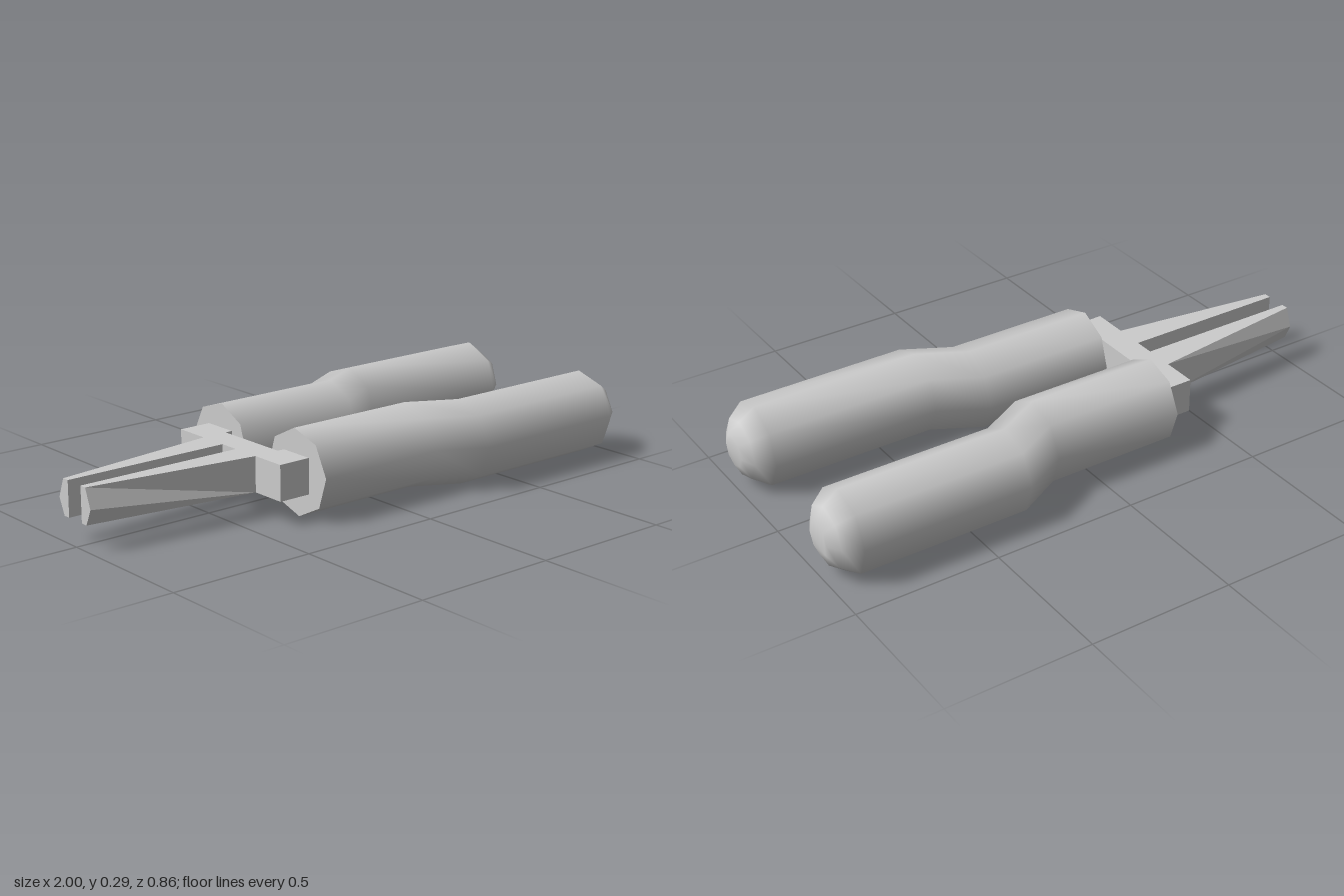
import * as THREE from 'three';

const material = new THREE.MeshStandardMaterial({ color: 0xcccccc });

// Skin between rings of [x, y, z] points running towards +x.
// side = -1 mirrors the rings in z and reverses them to keep faces outward.
function loft(rings, side, smooth) {
  const n = rings[0].length;
  const pts = rings.flatMap(r => {
    const ring = r.map(([x, y, z]) => [x, y, z * side]);
    return side < 0 ? ring.reverse() : ring;
  });
  const index = [];
  for (let r = 0; r < rings.length - 1; r++) {
    for (let i = 0; i < n; i++) {
      const a = r * n + i, b = r * n + (i + 1) % n;
      index.push(a, a + n, b, b, a + n, b + n);
    }
  }
  // End face towards +x shares the skin's vertices
  const last = (rings.length - 1) * n;
  for (let i = 1; i < n - 1; i++) index.push(last, last + i + 1, last + i);
  // End face towards -x has its own vertices, so its edge stays sharp
  const cap = pts.length;
  pts.push(...pts.slice(0, n));
  for (let i = 1; i < n - 1; i++) index.push(cap, cap + i, cap + i + 1);

  let geometry = new THREE.BufferGeometry();
  geometry.setAttribute('position', new THREE.Float32BufferAttribute(pts.flat(), 3));
  geometry.setIndex(index);
  if (!smooth) geometry = geometry.toNonIndexed();
  geometry.computeVertexNormals();
  return geometry;
}

// Eight-sided ring, turned slightly about its axis
function gripRing([x, z, radius]) {
  return Array.from({ length: 8 }, (_, i) => {
    const a = 0.079 + i * Math.PI / 4;
    return [x, 0.144 + radius * Math.sin(a), z + radius * Math.cos(a)];
  });
}

export function createModel() {
  const group = new THREE.Group();
  const add = (name, geometry) => {
    const mesh = new THREE.Mesh(geometry, material);
    mesh.name = name;
    group.add(mesh);
  };

  // Grip stations: x, z of the centre, radius
  const grip = [
    [-0.3, 0.2, 0.1445], [0.17, 0.2, 0.1445], [0.33, 0.286, 0.1445],
    [0.92, 0.286, 0.1445], [0.975, 0.286, 0.104], [1, 0.286, 0.055],
  ].map(gripRing);

  // Jaw: bevelled tip section widening to a rectangular root
  const low = 0.085, high = 0.205, inner = 0.035;
  const jaw = [
    [[0.14, 0.085], [high, 0.06], [high, inner], [low, inner], [low, 0.06]].map(([y, z]) => [-1, y, z]),
    [[low, 0.136], [high, 0.136], [high, inner], [low, inner], [low, 0.136]].map(([y, z]) => [-0.415, y, z]),
  ];

  for (const [label, side] of [['left', 1], ['right', -1]]) {
    add(label + 'Grip', loft(grip, side, true));
    add(label + 'Jaw', loft(jaw, side, false));
  }

  // Cross bar with a tab reaching back to each grip
  const outline = [
    [-0.415, -0.26], [-0.3, -0.26], [-0.3, -0.136], [-0.325, -0.136],
    [-0.325, 0.136], [-0.3, 0.136], [-0.3, 0.26], [-0.415, 0.26],
  ].map(([x, z]) => new THREE.Vector2(x, z));
  const bar = new THREE.ExtrudeGeometry(new THREE.Shape(outline), { depth: high - low, bevelEnabled: false });
  bar.rotateX(-Math.PI / 2).translate(0, low, 0);
  add('crossBar', bar);

  return group;
}
